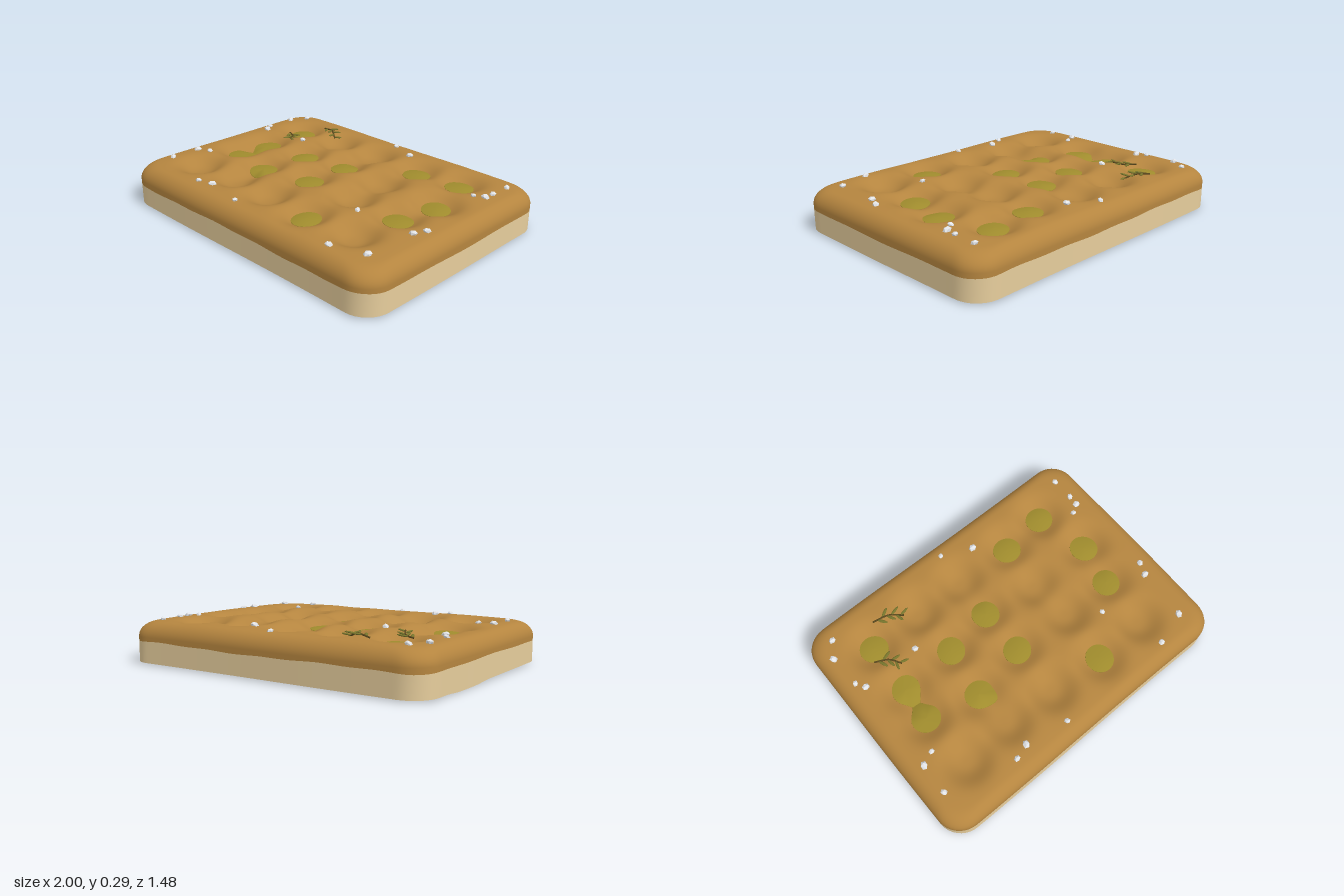
import * as THREE from 'three';

const mat = (name, color, extra = {}) => {
  const m = new THREE.MeshStandardMaterial({ color, ...extra });
  m.name = name;
  return m;
};
const both = { side: THREE.DoubleSide };

// oil pools: x, z, direction of a bulge in the outline, size of the bulge
const POOLS = [
  [-0.68, -0.425, 0, 0], [0.33, -0.42, 0, 0], [0.62, -0.455, 0, 0],
  [-0.685, -0.11, 1.62, 0.032], [-0.34, -0.125, 0, 0], [-0.04, -0.175, 0, 0], [0.705, -0.13, 0, 0],
  [-0.70, 0.10, -1.5, 0.032], [-0.38, 0.185, 0.93, 0.025], [-0.04, 0.12, 0, 0], [0.655, 0.13, 0, 0],
  [0.30, 0.465, 0, 0],
];
// finger dimples without oil
const DRY = [
  [-0.35, -0.43], [-0.03, -0.43], [0.3, -0.13], [0.33, 0.13],
  [-0.67, 0.44], [-0.36, 0.41], [-0.04, 0.43], [0.63, 0.44],
];
const SALT = [
  [-0.84, -0.61], [-0.9, -0.51], [-0.89, -0.31], [-0.855, -0.255], [-0.5, -0.255], [-0.015, -0.635],
  [0.165, -0.55], [0.86, -0.58], [0.86, -0.44], [0.855, -0.375], [0.8, -0.34], [0.885, 0.175],
  [0.855, 0.25], [0.49, 0.27], [0.835, 0.565], [0.635, 0.63], [-0.1, 0.63], [-0.365, 0.585],
  [-0.455, 0.615], [-0.88, 0.5], [-0.875, 0.315], [-0.795, 0.28],
];

// height of the dimpled top
function height(x, z) {
  const inside = Math.max(0, (1 - x ** 4) * (1 - (z / 0.737) ** 4));
  let y = 0.241 + 0.034 * inside + 0.003 * Math.sin(5 * x + 2) * Math.cos(6 * z);
  for (const [px, pz] of [...POOLS, ...DRY]) {
    y -= 0.072 * Math.exp(-((((x - px) ** 2 + (z - pz) ** 2) / 0.0165) ** 1.4));
  }
  return y;
}

// surface through a stack of closed rings of [x, y, z] points
function loft(rings) {
  const n = rings[0].length, index = [];
  for (let i = 0; i < rings.length - 1; i++) {
    for (let j = 0; j < n; j++) {
      const a = i * n + j, b = i * n + (j + 1) % n;
      index.push(a, a + n, b, b, a + n, b + n);
    }
  }
  const g = new THREE.BufferGeometry();
  g.setAttribute('position', new THREE.Float32BufferAttribute(rings.flat(2), 3));
  g.setIndex(index);
  g.computeVertexNormals();
  return g;
}

// rounded rectangular plan of the loaf, slightly uneven
function plan() {
  const s = new THREE.Shape(), w = 1, d = 0.737, r = 0.15, q = Math.PI / 2;
  s.absarc(w - r, d - r, r, 0, q);
  s.absarc(r - w, d - r, r, q, 2 * q);
  s.absarc(r - w, r - d, r, 2 * q, 3 * q);
  s.absarc(w - r, r - d, r, 3 * q, 4 * q);
  s.closePath();
  return s.getSpacedPoints(260).slice(0, 260).map((p) => [
    p.x * (0.998 + 0.002 * Math.sin(4 * p.y + 1)),
    p.y * (0.996 + 0.005 * Math.sin(3.2 * p.x + 3.4)),
  ]);
}

export function createModel() {
  const root = new THREE.Group();
  const crustMat = mat('golden crust', 0xb5853f, both);
  const baseMat = mat('pale dough', 0xe6cd9c, both);
  const oilMat = mat('olive oil', 0xa08c2d, both);
  const deepMat = mat('deep oil', 0x2c260c, both);
  const saltMat = mat('salt', 0xeef0f3);
  const leafMat = mat('herb leaf', 0x77752c);
  const stemMat = mat('herb stem', 0x5c4a1e);
  const add = (name, geometry, material, parent = root) => {
    const m = new THREE.Mesh(geometry, material);
    m.name = name;
    parent.add(m);
    return m;
  };
  const group = (name) => {
    const g = new THREE.Group();
    g.name = name;
    root.add(g);
    return g;
  };

  // open underneath: pale side wall, then crust shell
  const outline = plan();
  const seam = (x, z) => 0.134 + 0.004 * Math.sin(5 * x + 3 * z) + 0.002 * Math.sin(17 * x - 11 * z);
  const sag = (x, z) => (x < 0 ? 0.009 * Math.exp(-(((z + 0.27) / 0.18) ** 4)) : 0);
  const low = outline.map(([x, z]) => [x, 0.009 - sag(x, z), z]);
  const mid = outline.map(([x, z]) => [x, seam(x, z), z]);
  add('sideWall', loft([low, mid]), baseMat);

  const rings = [mid], R = 0.08;
  for (let i = 0; i <= 10; i++) { // rounded shoulder
    const a = (i / 10) * Math.PI / 2, inset = R * (1 - Math.cos(a));
    rings.push(outline.map(([x, z]) => {
      const px = x * (1 - inset), pz = z * (1 - inset / 0.737);
      return [px, height(px, pz) - R * (1 - Math.sin(a)), pz];
    }));
  }
  const N = 60;
  for (let i = 1; i <= N; i++) { // dimpled top
    const k = Math.max(1 - i / N, 0.0005);
    rings.push(outline.map(([x, z]) => {
      const px = x * (1 - R) * k, pz = z * (1 - R / 0.737) * k;
      return [px, height(px, pz), pz];
    }));
  }
  add('crust', loft(rings), crustMat);

  // oil pools: shallow lens on top, rim and dark hollow hanging underneath
  const pools = group('oilPools');
  POOLS.forEach(([x, z, dir, bulge], k) => {
    const floor = height(x, z) - 0.007;
    const edge = [];
    for (let j = 0; j < 40; j++) {
      const t = (j / 40) * Math.PI * 2;
      const off = Math.atan2(Math.sin(t - dir), Math.cos(t - dir));
      const r = 0.084 + 0.002 * Math.sin(2 * t + k) + bulge * Math.exp(-((off / 0.42) ** 2));
      edge.push([r * Math.cos(t), r * Math.sin(t)]);
    }
    const rim = edge.map(([u, v]) => height(x + u, z + v) + 0.002);
    const mean = rim.reduce((a, b) => a + b) / 40;
    const ring = (s, y) => edge.map(([u, v], j) => [x + u * s, y(j), z + v * s]);
    const dome = (s) => ring(s, (j) => rim[j] * s * s + (mean + 0.009) * (1 - s * s));
    add('oilSurface', loft([1, 0.8, 0.55, 0.3, 0.001].map(dome)), oilMat, pools);
    const under = [ring(0.84, () => floor), ring(1.05, () => floor), ring(1, (j) => rim[j])];
    add('oilRim', loft(under), oilMat, pools);
    add('oilHollow', loft([ring(0.001, () => floor + 0.002), ring(0.86, () => floor + 0.002)]), deepMat, pools);
  });

  // coarse salt crystals
  const salt = group('saltCrystals');
  const crystal = new THREE.IcosahedronGeometry(1, 0);
  SALT.forEach(([x, z], i) => {
    const m = add('saltCrystal', crystal, saltMat, salt), s = 0.019 + 0.003 * Math.sin(i * 2.3);
    m.position.set(x, height(x, z) + 0.004, z);
    m.scale.set(s * 1.2, s * 0.8, s);
    m.rotation.set(0.3 * Math.sin(i), i * 2.1, 0.3 * Math.cos(i));
  });

  // herb sprigs: curved stem with alternating slender leaves
  const leafGeo = new THREE.SphereGeometry(1, 12, 8).scale(0.034, 0.006, 0.0095).translate(0.034, 0, 0);
  const sprig = (from, to, bend) => {
    const g = group('herbSprig');
    const at = ([x, z], lift) => new THREE.Vector3(x, Math.max(height(x, z), 0.235) + lift, z);
    const middle = [(from[0] + to[0]) / 2 + bend[0], (from[1] + to[1]) / 2 + bend[1]];
    const curve = new THREE.CatmullRomCurve3([at(from, 0.006), at(middle, 0.012), at(to, 0.01)]);
    add('stem', new THREE.TubeGeometry(curve, 16, 0.005, 6), stemMat, g);
    for (let i = 0; i < 6; i++) {
      const t = 0.15 + i * 0.15, p = curve.getPoint(t), d = curve.getTangent(t);
      const side = i % 2 ? 1 : -1;
      const leaf = add('leaf', leafGeo, leafMat, g);
      leaf.position.copy(p);
      leaf.rotation.set(0, Math.atan2(-d.z, d.x) + side * 0.75, 0.12);
      leaf.scale.setScalar(1 - 0.15 * t);
    }
  };
  sprig([-0.59, -0.55], [-0.42, -0.475], [0.01, -0.01]);
  sprig([-0.73, -0.35], [-0.61, -0.235], [0.015, -0.015]);

  return root;
}
